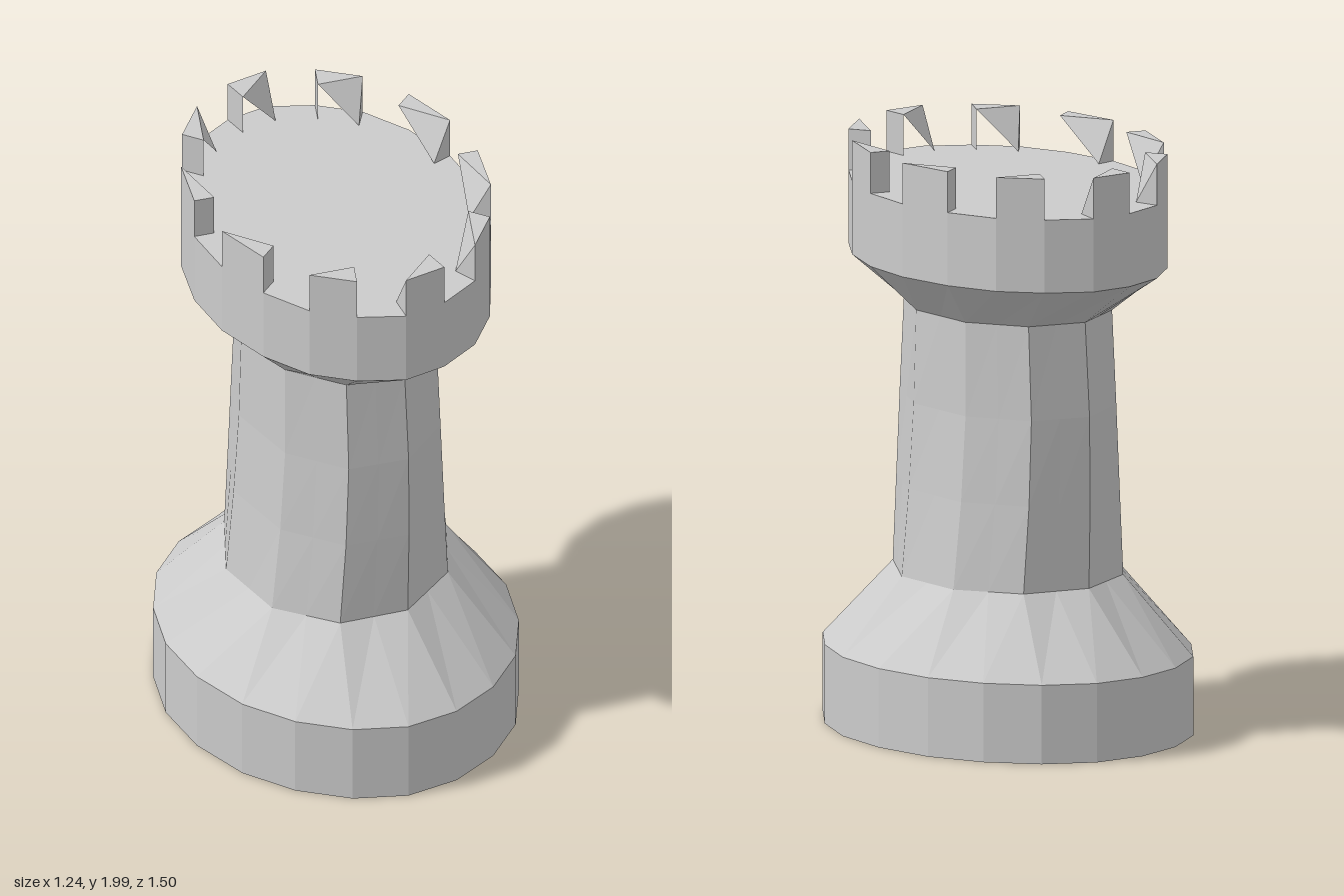
import * as THREE from 'three';

const material = new THREE.MeshStandardMaterial({ color: 0xcccccc, flatShading: true });

// Half outlines (x, z); the other half is the same turned by 180 degrees
const fullTurn = (half) => [...half, ...half.map(([x, z]) => [-x, -z])];
const FOOT = fullTurn([
  [0.07, -0.75], [0.26, -0.73], [0.42, -0.63], [0.54, -0.47], [0.61, -0.27],
  [0.62, -0.035], [0.57, 0.2], [0.46, 0.41], [0.31, 0.585], [0.125, 0.7],
]);
const CROWN = fullTurn([
  [0.08, -0.695], [0.235, -0.685], [0.37, -0.59], [0.47, -0.457], [0.52, -0.27],
  [0.525, -0.05], [0.477, 0.163], [0.375, 0.366], [0.243, 0.53], [0.09, 0.645],
]);
const N = FOOT.length;

const ring = (outline, y, sx = 1, sz = sx) =>
  outline.map(([x, z]) => new THREE.Vector3(x * sx, y, z * sz));

// Shaft rings have half as many corners: odd points lie midway between the even ones
const shaftRing = (y, halfX, halfZ) => {
  const r = ring(CROWN, y, halfX / 0.525, halfZ / 0.695);
  for (let i = 1; i < N; i += 2) r[i].lerpVectors(r[i - 1], r[(i + 1) % N], 0.5);
  return r;
};

// Mesh from a list of corner points, three per triangle
function mesh(name, points) {
  const geometry = new THREE.BufferGeometry().setFromPoints(points);
  geometry.computeVertexNormals();
  const m = new THREE.Mesh(geometry, material);
  m.name = name;
  return m;
}

// Walls through a stack of rings, lowest first
function loft(name, rings) {
  const p = [];
  for (let k = 0; k + 1 < rings.length; k++) {
    const [lo, hi] = [rings[k], rings[k + 1]];
    for (let i = 0; i < N; i++) {
      const j = (i + 1) % N;
      p.push(lo[j], lo[i], hi[i], lo[j], hi[i], hi[j]);
    }
  }
  return mesh(name, p);
}

function cap(name, r, up) {
  const c = new THREE.Vector3(0, r[0].y, 0);
  const p = [];
  r.forEach((a, i) => {
    const b = r[(i + 1) % N];
    p.push(c, ...(up ? [b, a] : [a, b]));
  });
  return mesh(name, p);
}

// Battlement tooth on one crown edge, with one inner corner cut away and its inside open
function tooth(i) {
  const [oa, ob] = [CROWN[i], CROWN[(i + 1) % N]];
  const at = ([x, z], y, s = 1) => new THREE.Vector3(x * s, y, z * s);
  const [y0, y1, s] = [1.85, 1.99, 0.86];
  const aLow = at(oa, y0), aTop = at(oa, y1), bLow = at(ob, y0), bTop = at(ob, y1);
  const innerALow = at(oa, y0, s), innerATop = at(oa, y1, s), innerBLow = at(ob, y0, s);
  return mesh('battlement', [
    bLow, aLow, aTop, bLow, aTop, bTop, // outer wall
    aLow, innerALow, innerATop, aLow, innerATop, aTop, // full side
    bLow, bTop, innerBLow, // cut side
    aTop, innerATop, bTop, // top
    innerATop, innerBLow, bTop, // slope
  ]);
}

export function createModel() {
  const model = new THREE.Group();
  model.name = 'rook';

  // Foot and sloping collar
  const bottom = ring(FOOT, 0), footTop = ring(FOOT, 0.27);
  const collarTop = shaftRing(0.535, 0.42, 0.475);
  model.add(cap('underside', bottom, false));
  model.add(loft('foot', [bottom, footTop]));
  model.add(loft('collar', [footTop, collarTop]));

  // Tapering shaft
  const neck = shaftRing(1.44, 0.355, 0.445);
  model.add(loft('shaft', [
    collarTop, shaftRing(0.83, 0.385, 0.475), shaftRing(1.12, 0.362, 0.468), neck,
  ]));

  // Flared crown with its floor
  const crownLow = ring(CROWN, 1.6), crownTop = ring(CROWN, 1.85);
  model.add(loft('flare', [neck, crownLow]));
  model.add(loft('crown', [crownLow, crownTop]));
  model.add(cap('crownFloor', crownTop, true));

  // Ten battlements, on every other edge
  const battlements = new THREE.Group();
  battlements.name = 'battlements';
  for (let i = 0; i < N; i += 2) battlements.add(tooth(i));
  model.add(battlements);

  return model;
}
